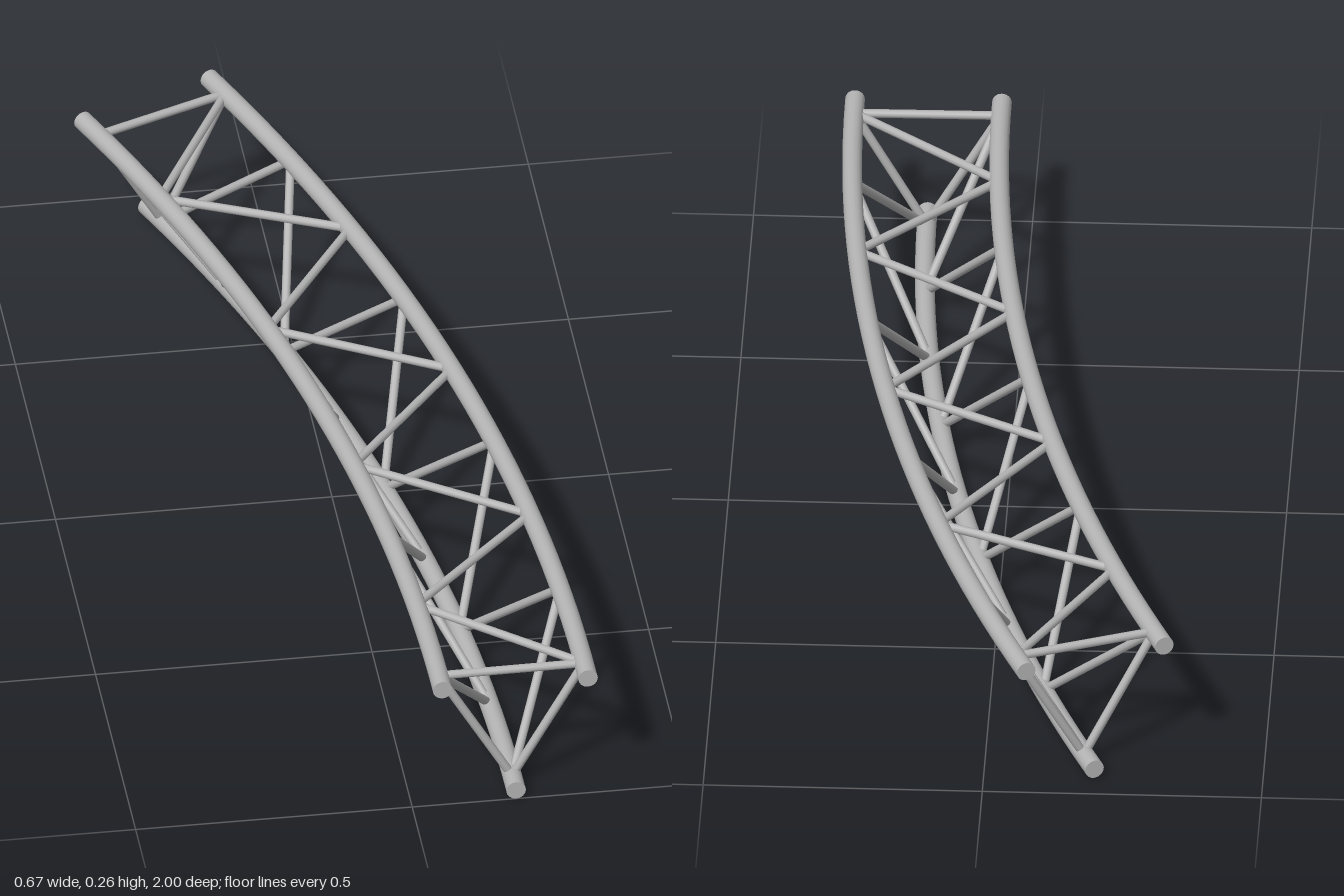
import * as THREE from 'three';

const CENTRE_X = -4.89, START_Z = 1, SWEEP = Math.PI / 8;
const CHORD_R = 0.0177, STRUT_R = 0.008;
const BAYS = 8, FIRST = 0.0096, STEP = 0.0465;

// The three main tubes: bend radius and height
const INNER = { name: 'innerChord', r: 4.945, y: 0.247 };
const OUTER = { name: 'outerChord', r: 5.208, y: 0.247 };
const LOWER = { name: 'lowerChord', r: 5.078, y: 0.0177 };

const pointOn = (chord, angle) => new THREE.Vector3(
  CENTRE_X + chord.r * Math.cos(angle), chord.y, START_Z - chord.r * Math.sin(angle));
const node = (chord, k) => pointOn(chord, FIRST + k * STEP);

class ChordCurve extends THREE.Curve {
  constructor(chord) {
    super();
    this.chord = chord;
  }
  getPoint(t, target = new THREE.Vector3()) {
    return target.copy(pointOn(this.chord, t * SWEEP));
  }
  getTangent(t, target = new THREE.Vector3()) {
    return target.set(-Math.sin(t * SWEEP), 0, -Math.cos(t * SWEEP));
  }
}

export function createModel() {
  const model = new THREE.Group();
  model.name = 'curvedTruss';
  const metal = new THREE.MeshStandardMaterial({ color: 0xb4b4b4 });
  metal.name = 'aluminium grey';

  const add = (parent, geometry, name) => {
    const mesh = new THREE.Mesh(geometry, metal);
    mesh.name = name;
    parent.add(mesh);
    return mesh;
  };

  // Curved tubes with flat end caps
  for (const chord of [INNER, OUTER, LOWER]) {
    const group = new THREE.Group();
    group.name = chord.name;
    model.add(group);
    add(group, new THREE.TubeGeometry(new ChordCurve(chord), 32, CHORD_R, 16), 'tube');
    const cap = new THREE.CircleGeometry(CHORD_R, 16);
    add(group, cap, 'frontCap').position.copy(pointOn(chord, 0));
    const back = add(group, cap, 'backCap');
    back.position.copy(pointOn(chord, SWEEP));
    back.rotation.y = Math.PI + SWEEP;
  }

  // Straight strut between two points
  const up = new THREE.Vector3(0, 1, 0);
  const strut = (parent, a, b, name) => {
    const dir = b.clone().sub(a);
    const mesh = add(parent, new THREE.CylinderGeometry(STRUT_R, STRUT_R, dir.length(), 10), name);
    mesh.position.copy(a).add(b).multiplyScalar(0.5);
    mesh.quaternion.setFromUnitVectors(up, dir.normalize());
  };

  // Each face: zigzag lacing from its first chord to its second, plus a bar at both ends
  const faces = [
    ['topLacing', OUTER, INNER],
    ['outerLacing', LOWER, OUTER],
    ['innerLacing', INNER, LOWER],
  ];
  for (const [name, even, odd] of faces) {
    const group = new THREE.Group();
    group.name = name;
    model.add(group);
    for (let k = 0; k < BAYS; k++) {
      const [from, to] = k % 2 ? [odd, even] : [even, odd];
      strut(group, node(from, k), node(to, k + 1), 'diagonal');
    }
    for (const k of [0, BAYS]) strut(group, node(even, k), node(odd, k), 'endBar');
  }
  return model;
}
